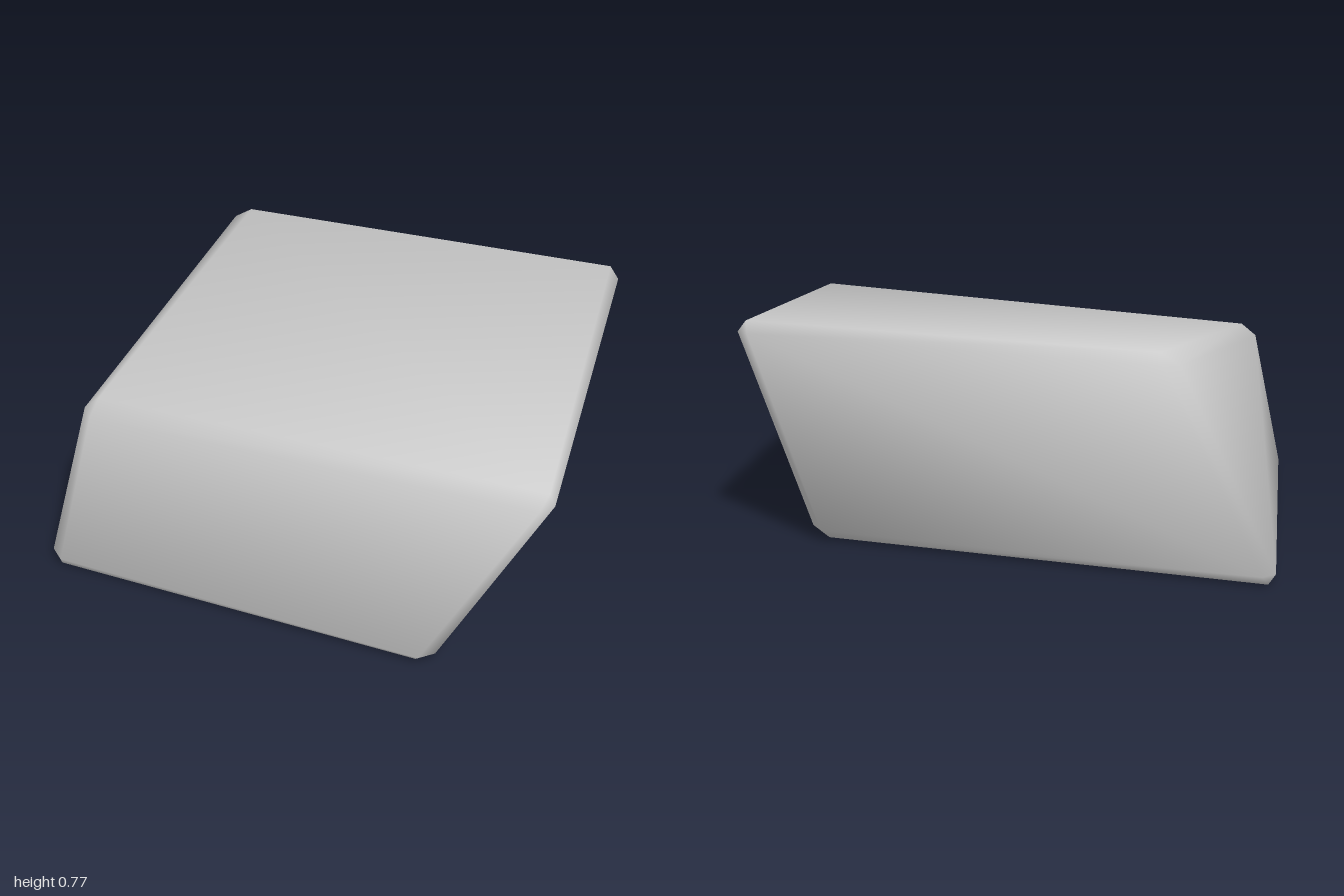
import * as THREE from 'three';

// Eight corners of the boulder, index = right + 2 * top + 4 * front
const corners = [
  [-1.02, 0, -0.53], [0.57, 0, -0.59], [-0.67, 0.75, -0.61], [0.75, 0.78, -0.78],
  [-0.70, 0, 0.78], [0.67, 0, 0.68], [-0.64, 0.58, 0.59], [1.02, 0.64, 0.47],
].map((p) => new THREE.Vector3(...p));

// Six sides, counter-clockwise from outside; each folds between its first and third corner
const sides = [
  [2, 6, 7, 3], [4, 5, 7, 6], [1, 3, 7, 5],
  [0, 2, 3, 1], [0, 4, 6, 2], [0, 1, 5, 4],
];
const BEVEL = 0.043;

function toward(a, b) {
  return corners[b].clone().sub(corners[a]).normalize().multiplyScalar(BEVEL);
}

function boulderGeometry() {
  const points = [];
  const index = [];
  const quad = (a, b, c, d) => index.push(a, b, c, a, c, d);
  const id = (side, corner) => side * 4 + sides[side].indexOf(corner);
  const after = (side, corner) => sides[side][(sides[side].indexOf(corner) + 1) % 4];
  const across = (a, b) => sides.findIndex((s, i) => s.includes(b) && after(i, b) === a);

  // Large sides, pulled in along their edges
  sides.forEach((side, f) => {
    side.forEach((c, i) => {
      points.push(corners[c].clone()
        .add(toward(c, side[(i + 1) % 4]))
        .add(toward(c, side[(i + 3) % 4])));
    });
    quad(f * 4, f * 4 + 1, f * 4 + 2, f * 4 + 3);
  });

  // Bevel strips along the edges
  sides.forEach((side, f) => side.forEach((a) => {
    const b = after(f, a);
    const g = across(a, b);
    if (a < b) quad(id(f, b), id(f, a), id(g, a), id(g, b));
  }));

  // Small triangles that close the corners
  corners.forEach((_, c) => {
    const f = sides.findIndex((s) => s.includes(c));
    const g = across(c, after(f, c));
    const h = across(c, after(g, c));
    index.push(id(h, c), id(g, c), id(f, c));
  });

  // Soft normals weighted by the angle at each corner
  const normals = points.map(() => new THREE.Vector3());
  for (let t = 0; t < index.length; t += 3) {
    const tri = index.slice(t, t + 3);
    const [a, b, c] = tri.map((i) => points[i]);
    const n = b.clone().sub(a).cross(c.clone().sub(a)).normalize();
    tri.forEach((v, k) => {
      const e1 = points[tri[(k + 1) % 3]].clone().sub(points[v]);
      const e2 = points[tri[(k + 2) % 3]].clone().sub(points[v]);
      normals[v].addScaledVector(n, e1.angleTo(e2));
    });
  }
  normals.forEach((n) => n.normalize());

  const geometry = new THREE.BufferGeometry();
  const flat = (list) => new THREE.Float32BufferAttribute(list.flatMap((v) => v.toArray()), 3);
  geometry.setAttribute('position', flat(points));
  geometry.setAttribute('normal', flat(normals));
  geometry.setIndex(index);
  return geometry;
}

export function createModel() {
  const stone = new THREE.MeshStandardMaterial({ color: 0xcccccc });
  stone.name = 'stoneGrey';

  const boulder = new THREE.Mesh(boulderGeometry(), stone);
  boulder.name = 'boulder';

  const model = new THREE.Group();
  model.name = 'rock';
  model.add(boulder);
  return model;
}
